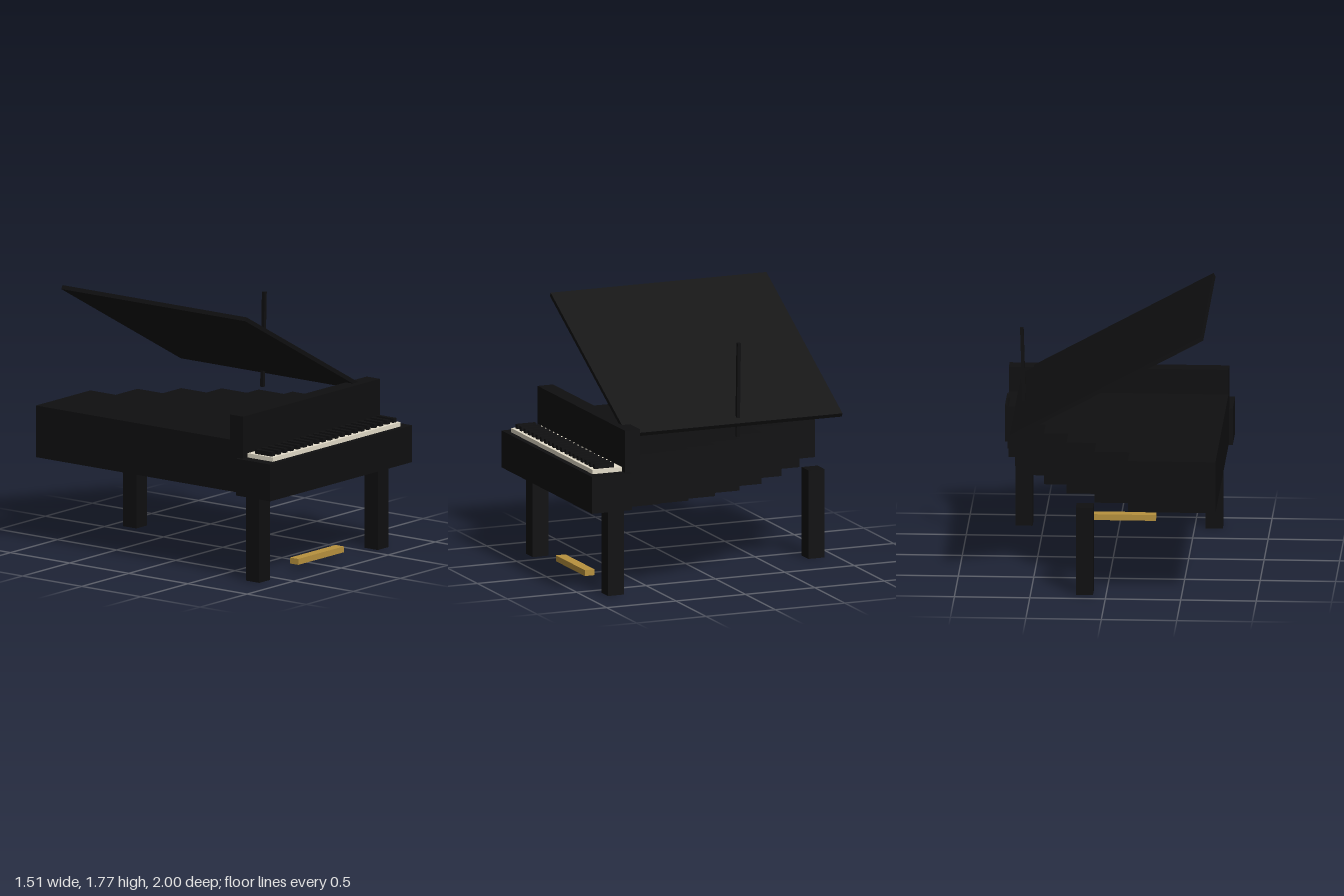
import * as THREE from 'three';

const black = new THREE.MeshStandardMaterial({ name: 'black lacquer', color: 0x0f0f10 });
const ivory = new THREE.MeshStandardMaterial({ name: 'ivory', color: 0xe4ddca });
const brass = new THREE.MeshStandardMaterial({ name: 'brass', color: 0xb8923e });

// Box given by its extents on each axis
function box(name, material, [x0, x1], [y0, y1], [z0, z1]) {
  const mesh = new THREE.Mesh(new THREE.BoxGeometry(x1 - x0, y1 - y0, z1 - z0), material);
  mesh.position.set((x0 + x1) / 2, (y0 + y1) / 2, (z0 + z1) / 2);
  mesh.name = name;
  return mesh;
}

// Case whose bent side narrows towards the tail in eight steps
function steppedCase() {
  const steps = 8, front = 0.71, back = -1, left = -0.73;
  const shape = new THREE.Shape();
  shape.moveTo(left, -front);
  for (let i = 0; i < steps; i++) {
    const x = 0.725 - 0.875 * (i / (steps - 1)) ** 2;
    shape.lineTo(x, -(front + (back - front) * i / steps));
    shape.lineTo(x, -(front + (back - front) * (i + 1) / steps));
  }
  shape.lineTo(left, -back);
  shape.closePath();
  const geometry = new THREE.ExtrudeGeometry(shape, { depth: 0.35, bevelEnabled: false });
  geometry.rotateX(-Math.PI / 2);
  const mesh = new THREE.Mesh(geometry, black);
  mesh.position.y = 0.6;
  mesh.name = 'case';
  return mesh;
}

export function createModel() {
  const piano = new THREE.Group();
  piano.name = 'grandPiano';

  piano.add(steppedCase());
  piano.add(box('keybed', black, [-0.755, 0.755], [0.585, 0.835], [0.71, 1]));
  piano.add(box('frontPanel', black, [-0.73, 0.725], [0.83, 1.12], [0.64, 0.75]));

  // Keyboard
  const keyboard = new THREE.Group();
  keyboard.name = 'keyboard';
  keyboard.add(box('whiteKeys', ivory, [-0.68, 0.68], [0.833, 0.864], [0.745, 0.963]));
  for (let i = 0; i < 20; i++) {
    const x = -0.646 + i * 0.068;
    keyboard.add(box('blackKey', black, [x - 0.016, x + 0.016], [0.86, 0.893], [0.8, 0.94]));
  }
  piano.add(keyboard);

  // Raised lid
  const lid = new THREE.Mesh(new THREE.BoxGeometry(1.447, 0.028, 1.555), black);
  lid.position.set(0, 1.41, -0.0775);
  lid.rotation.z = -0.5;
  lid.name = 'lid';
  piano.add(lid);

  // Lid prop
  const prop = new THREE.Mesh(new THREE.BoxGeometry(0.023, 0.64, 0.023), black);
  prop.position.set(0.589, 1.29, -0.125);
  prop.rotation.z = -0.03;
  prop.name = 'lidProp';
  piano.add(prop);

  // Two front legs and one under the tail
  const r = 0.057;
  for (const [name, x, z] of [['leftLeg', 0.63, 0.797], ['rightLeg', -0.63, 0.797], ['rearLeg', 0.143, -0.857]]) {
    piano.add(box(name, black, [x - r, x + r], [0, 0.6], [z - r, z + r]));
  }

  piano.add(box('pedalBar', brass, [-0.242, 0.242], [0.04, 0.08], [0.76, 0.83]));
  return piano;
}
